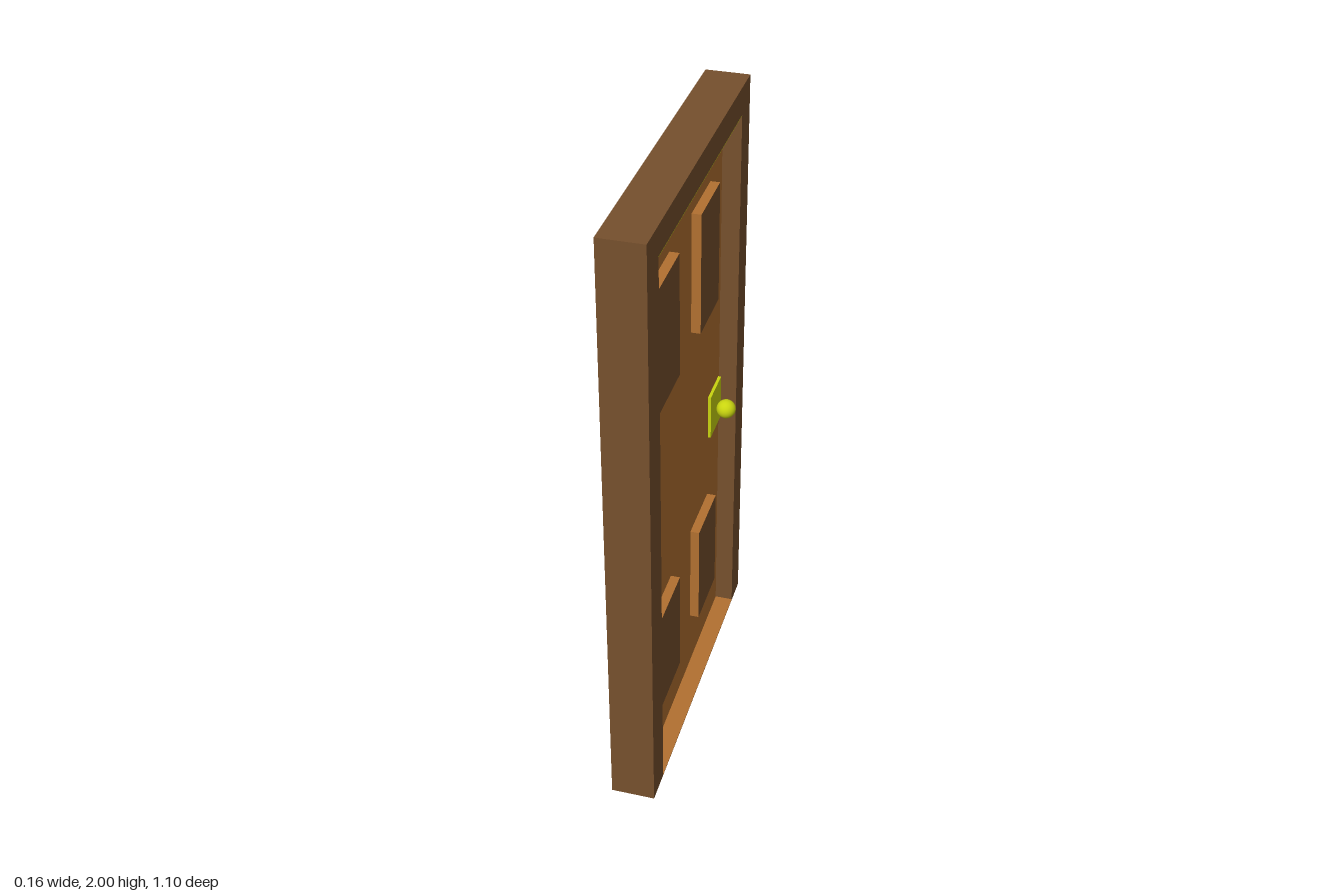
import * as THREE from 'three';

export function createModel() {
  const group = new THREE.Group();
  const material = (name, color) => {
    const m = new THREE.MeshStandardMaterial({ color });
    m.name = name;
    return m;
  };
  const darkWood = material('dark wood', 0x76502d);
  const lightWood = material('light wood', 0xb27030);
  const brass = material('yellow brass', 0xc8d40f);

  const add = (name, geometry, mat) => {
    const mesh = new THREE.Mesh(geometry, mat);
    mesh.name = name;
    group.add(mesh);
    return mesh;
  };
  // Box given by its limits on each axis
  const box = (name, mat, [x0, x1], [y0, y1], [z0, z1]) => {
    const mesh = add(name, new THREE.BoxGeometry(x1 - x0, y1 - y0, z1 - z0), mat);
    mesh.position.set((x0 + x1) / 2, (y0 + y1) / 2, (z0 + z1) / 2);
    return mesh;
  };

  const back = -0.08, front = 0.06, doorFace = 0;
  const opening = [-0.455, 0.445], openingTop = 1.91;

  // Frame: an upside-down U, drawn along -z and extruded along x
  const outline = new THREE.Shape([
    [-0.55, 0], [-opening[1], 0], [-opening[1], openingTop], [-opening[0], openingTop],
    [-opening[0], 0], [0.55, 0], [0.55, 2], [-0.55, 2],
  ].map(([a, b]) => new THREE.Vector2(a, b)));
  const frame = new THREE.ExtrudeGeometry(outline, { depth: front - back, bevelEnabled: false });
  frame.rotateY(Math.PI / 2).translate(back, 0, 0);
  add('frame', frame, darkWood);

  // Door leaf, its dark backing, the sill and the strip under the lintel
  box('backing', darkWood, [back, back + 0.008], [0, openingTop], opening);
  box('doorLeaf', lightWood, [back + 0.008, doorFace], [0, openingTop], opening);
  box('sill', lightWood, [doorFace, front], [0, 0.004], opening);
  box('lintelStrip', brass, [doorFace, front - 0.001], [openingTop - 0.004, openingTop], opening);

  // Four raised panels: light edges, dark face (+x is the first box group)
  const panelMaterials = [darkWood, ...Array(5).fill(lightWood)];
  for (const [row, y] of [['upper', [1.345, 1.75]], ['lower', [0.21, 0.575]]]) {
    for (const [side, z] of [['Near', [0.135, 0.355]], ['Far', [-0.315, -0.1]]]) {
      box(`${row}${side}Panel`, panelMaterials, [doorFace, doorFace + 0.03], y, z);
    }
  }

  // Lock plate and round knob
  box('lockPlate', brass, [doorFace, doorFace + 0.01], [0.81, 0.97], [-0.445, -0.315]);
  add('knob', new THREE.SphereGeometry(0.032, 32, 20), brass).position.set(0.045, 0.89, -0.38);

  return group;
}
